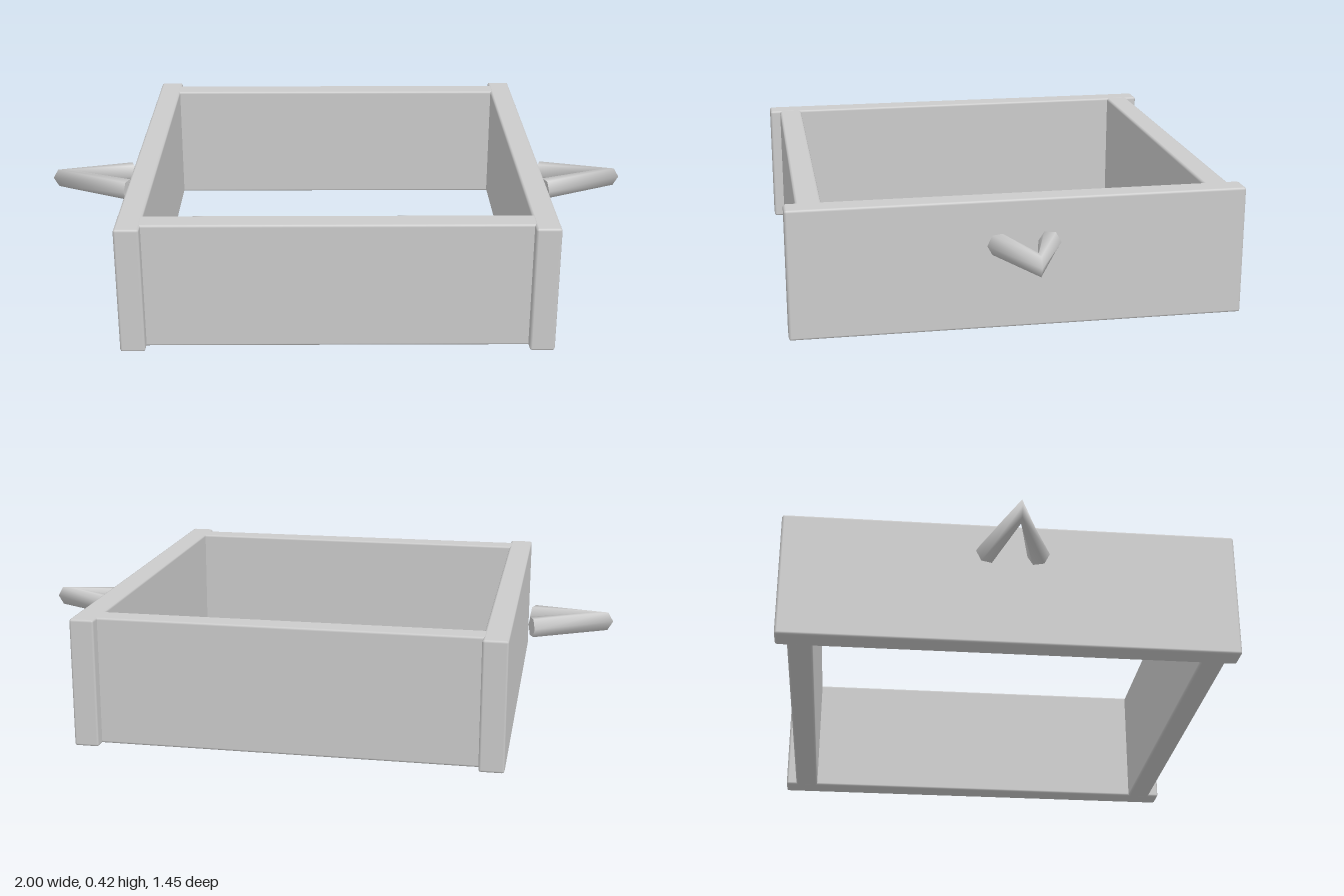
import * as THREE from 'three';
import { RoundedBoxGeometry } from 'three/addons/geometries/RoundedBoxGeometry.js';

const material = new THREE.MeshStandardMaterial({ color: 0xcccccc });

function addBoard(group, name, size, position) {
  const board = new THREE.Mesh(new RoundedBoxGeometry(...size, 1, 0.008), material);
  board.name = name;
  board.position.set(...position);
  group.add(board);
}

// Hexagonal bar bent into a V: three rings, the middle one at the point
function handleGeometry(side) {
  const sides = 6, radius = 0.036;
  const slant = Math.atan2(0.082, 0.237);
  const rings = [
    { centre: [0.727, 0.292, 0.082], turn: Math.PI / 2 - slant },
    { centre: [0.964, 0.303, 0], turn: 0 },
    { centre: [0.727, 0.292, -0.082], turn: slant - Math.PI / 2 },
  ];
  const positions = [], indices = [];
  for (const { centre: [x, y, z], turn } of rings) {
    for (let i = 0; i < sides; i++) {
      const a = (i / sides) * Math.PI * 2;
      const out = Math.cos(a) * radius;
      positions.push(
        side * (x + out * Math.cos(turn)),
        y + Math.sin(a) * radius,
        z + out * Math.sin(turn)
      );
    }
  }
  const face = (a, b, c) => indices.push(...(side > 0 ? [a, b, c] : [a, c, b]));
  for (let r = 0; r < 2; r++) {
    for (let i = 0; i < sides; i++) {
      const j = (i + 1) % sides;
      const a = r * sides + i, b = r * sides + j;
      face(a, a + sides, b);
      face(b, a + sides, b + sides);
    }
  }
  // End caps get their own corners so that their rims stay sharp
  for (const r of [0, 2]) {
    const first = positions.length / 3;
    positions.push(...positions.slice(r * sides * 3, (r + 1) * sides * 3));
    for (let i = 1; i < sides - 1; i++) {
      if (r === 0) face(first, first + i, first + i + 1);
      else face(first, first + i + 1, first + i);
    }
  }
  const geometry = new THREE.BufferGeometry();
  geometry.setAttribute('position', new THREE.Float32BufferAttribute(positions, 3));
  geometry.setIndex(indices);
  geometry.computeVertexNormals();
  return geometry;
}

export function createModel() {
  const model = new THREE.Group();
  model.name = 'openFrame';

  for (const s of [1, -1]) {
    // Long side boards overhang the cross boards at the corners
    addBoard(model, s > 0 ? 'leftBoard' : 'rightBoard', [0.08, 0.42, 1.45], [s * 0.646, 0.21, 0]);
    addBoard(model, s > 0 ? 'frontBoard' : 'backBoard', [1.365, 0.418, 0.08], [0, 0.21, s * 0.648]);

    // V-shaped handle standing off each side
    const handle = new THREE.Mesh(handleGeometry(s), material);
    handle.name = s > 0 ? 'leftHandle' : 'rightHandle';
    model.add(handle);
  }
  return model;
}
